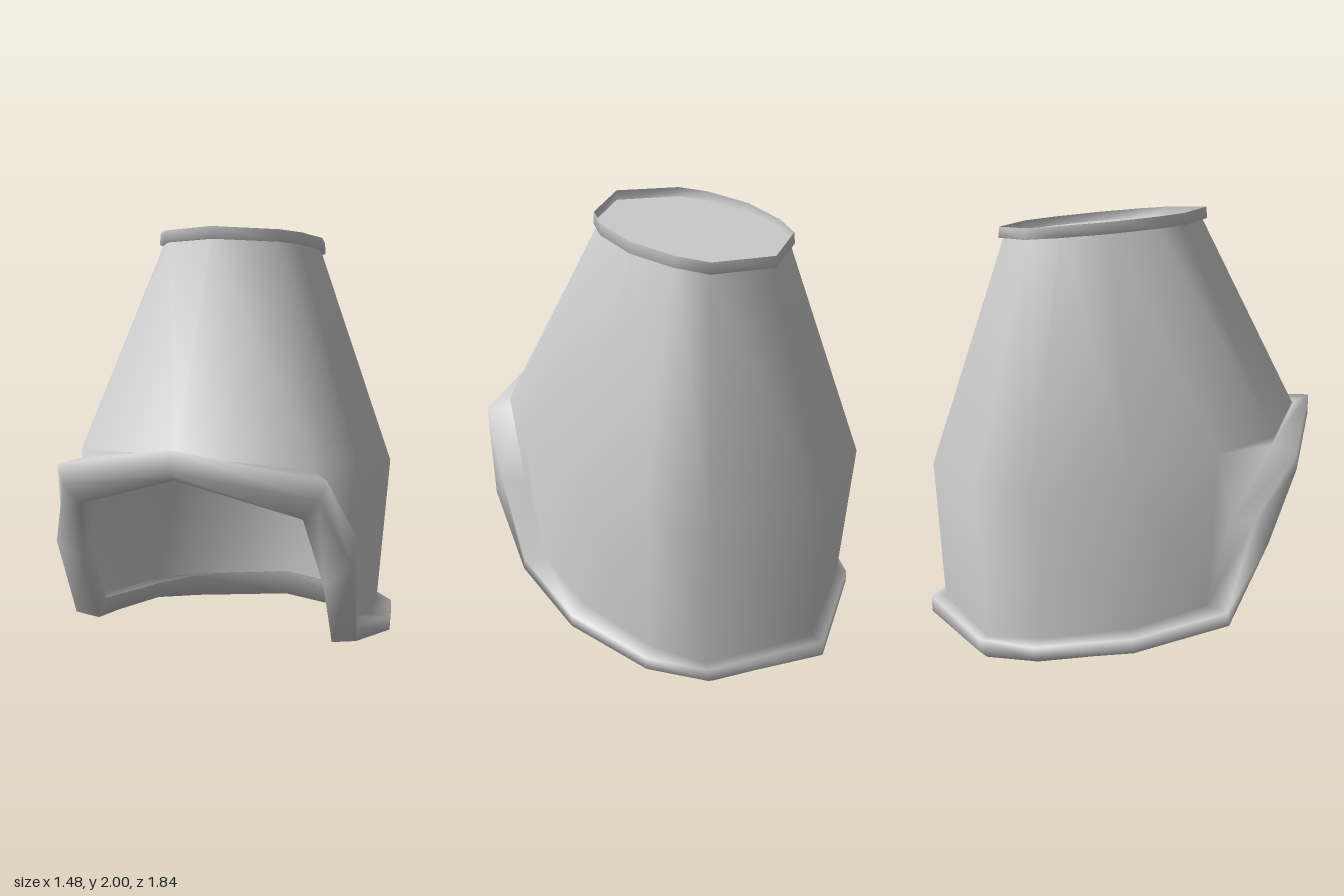
import * as THREE from 'three';
import { mergeVertices } from 'three/addons/utils/BufferGeometryUtils.js';

const material = new THREE.MeshStandardMaterial({ color: 0xcccccc, side: THREE.DoubleSide });

// Mirrors a half ring (front centre -> left side -> back centre) into a full loop.
const mirror = (half) => [
  ...half,
  ...half.slice(1, -1).reverse().map(([x, y, z]) => [-x, y, z]),
];

// Skins a list of rings, ordered from the top outward and down, with smooth normals.
function loft(name, rings) {
  const n = rings[0].length, index = [];
  for (let r = 0; r < rings.length - 1; r++) {
    for (let c = 0; c < n; c++) {
      const d = (c + 1) % n;
      const a = r * n + c, b = a + n, e = (r + 1) * n + d, f = r * n + d;
      index.push(a, b, e, a, e, f);
    }
  }
  let geometry = new THREE.BufferGeometry();
  geometry.setAttribute('position', new THREE.Float32BufferAttribute(rings.flat(2), 3));
  geometry.setIndex(index);
  geometry = mergeVertices(geometry, 1e-4);
  geometry.computeVertexNormals();
  const mesh = new THREE.Mesh(geometry, material);
  mesh.name = name;
  return mesh;
}

// Plan outlines [x, z]; the cheek column is doubled so it can fan down to two rim points.
const crownPlan = [[0, 0.41], [0.27, 0.27], [0.34, 0.15], [0.34, 0.15],
  [0.38, -0.07], [0.34, -0.29], [0.27, -0.43], [0, -0.55]];
const bodyPlan = [[0, 0.84], [0.52, 0.64], [0.65, 0.37], [0.65, 0.37],
  [0.72, -0.02], [0.65, -0.43], [0.52, -0.67], [0, -0.885]];

// Lifts an outline onto a plane that slopes along z, scaled about midZ.
function slopedRing(plan, y0, slope, scale = 1, midZ = -0.07) {
  return mirror(plan.map(([x, z]) => {
    const sz = midZ + (z - midZ) * scale;
    return [x * scale, y0 + slope * sz, sz];
  }));
}

// Rim cross-sections from brow to nape: shell edge, outer top, outer bottom, inner bottom, inner top.
const rimSections = [
  [[0, 1.07, 0.85], [0, 1.105, 0.92], [0, 1.01, 0.92], [0, 0.97, 0.86], [0, 1.04, 0.82]],
  [[0.52, 1.0, 0.63], [0.6, 0.98, 0.72], [0.57, 0.9, 0.73], [0.5, 0.81, 0.71], [0.5, 0.92, 0.62]],
  [[0.62, 0.68, 0.43], [0.685, 0.71, 0.53], [0.68, 0.6, 0.59], [0.555, 0.5, 0.57], [0.57, 0.58, 0.46]],
  [[0.6, 0.29, 0.34], [0.67, 0.28, 0.42], [0.67, 0.22, 0.43], [0.56, 0.2, 0.42], [0.56, 0.27, 0.34]],
  [[0.645, 0.21, 0], [0.74, 0.205, 0], [0.74, 0.14, 0], [0.65, 0.1, 0], [0.62, 0.19, 0]],
  [[0.6, 0.16, -0.4], [0.67, 0.15, -0.43], [0.67, 0.09, -0.43], [0.6, 0.05, -0.41], [0.58, 0.14, -0.38]],
  [[0.49, 0.13, -0.63], [0.52, 0.13, -0.67], [0.52, 0.07, -0.67], [0.45, 0.01, -0.64], [0.46, 0.13, -0.6]],
  [[0, 0.13, -0.85], [0, 0.125, -0.92], [0, 0.05, -0.92], [0, 0, -0.85], [0, 0.14, -0.82]],
];

export function createModel() {
  const group = new THREE.Group();
  group.name = 'hood';

  // Tapered shell from crown to widest line, rolling smoothly into the thick rim
  group.add(loft('shellAndRim', [
    slopedRing(crownPlan, 1.915, 0.085, 0.95),
    slopedRing(bodyPlan, 0.94, 0.155),
    ...[0, 1, 2, 3, 4].map((i) => mirror(rimSections.map((s) => s[i]))),
  ]));

  // Sloping crown panel, set just below the lip of the band
  group.add(loft('crownPanel', [
    slopedRing(crownPlan, 1.92, 0.087, 0),
    slopedRing(crownPlan, 1.92, 0.087, 0.99),
  ]));

  // Short band around the crown, tucked under to meet the shell
  group.add(loft('crownBand', [
    slopedRing(crownPlan, 1.963, 0.09, 0.99),
    slopedRing(crownPlan, 1.912, 0.087),
    slopedRing(crownPlan, 1.912, 0.087, 0.94),
  ]));

  return group;
}
